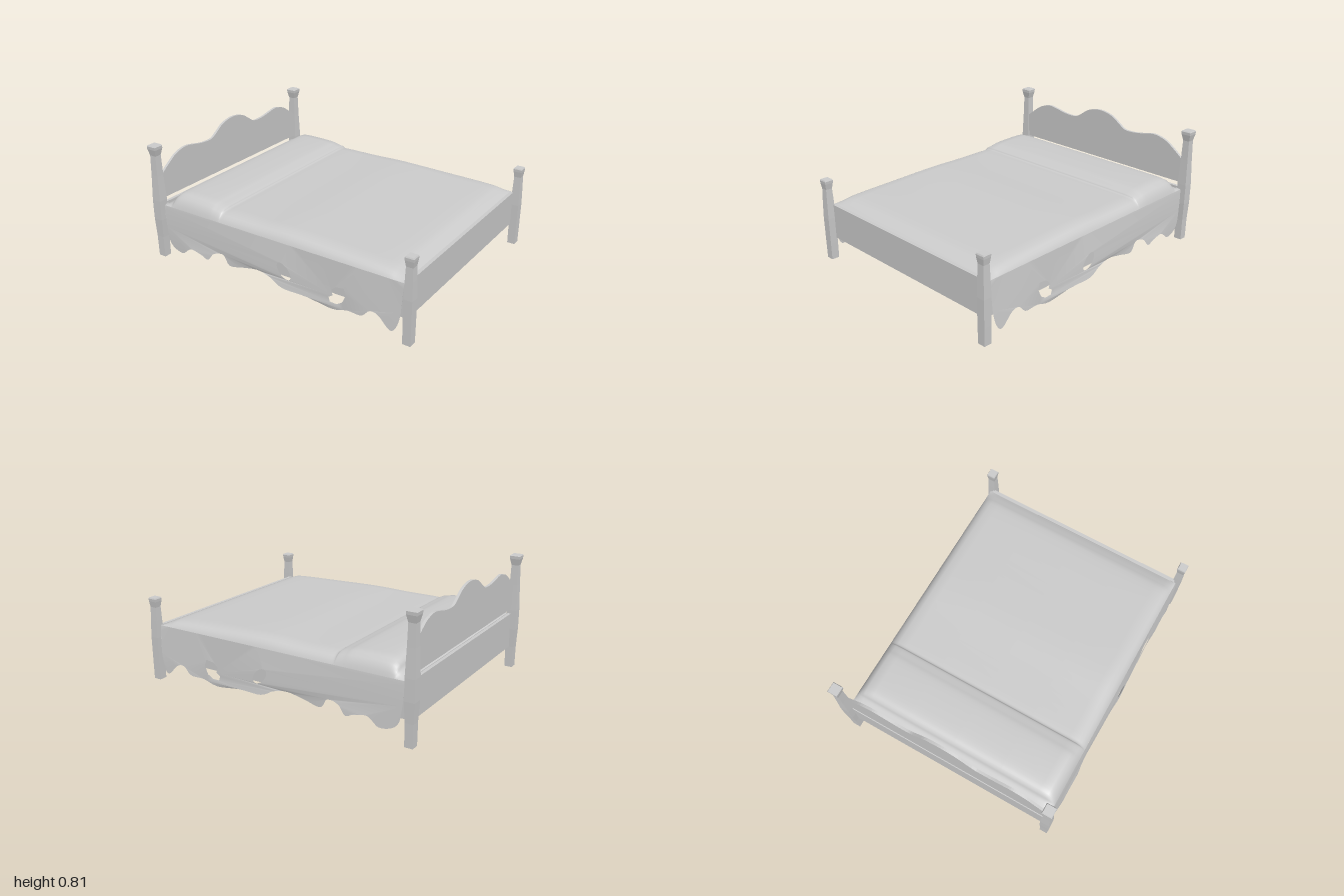
import * as THREE from 'three';

const grey = new THREE.MeshStandardMaterial({ color: 0xcccccc });
const facet = new THREE.MeshStandardMaterial({ color: 0xcccccc, flatShading: true });
const cloth = new THREE.MeshStandardMaterial({ color: 0xcccccc, side: THREE.DoubleSide });
const vecs = (pts) => pts.map(([x, y]) => new THREE.Vector2(x, y));

export function createModel() {
  const bed = new THREE.Group();
  const add = (name, geometry, material, x = 0, y = 0, z = 0) => {
    const mesh = new THREE.Mesh(geometry, material);
    mesh.name = name;
    mesh.position.set(x, y, z);
    bed.add(mesh);
    return mesh;
  };
  // box given by its limits
  const box = (name, x0, x1, y0, y1, z0, z1) =>
    add(name, new THREE.BoxGeometry(x1 - x0, y1 - y0, z1 - z0), grey,
      (x0 + x1) / 2, (y0 + y1) / 2, (z0 + z1) / 2);

  // square turned posts: [half width, height]
  const post = (profile) => new THREE.LatheGeometry(
    vecs(profile.map(([w, y]) => [w * Math.SQRT2, y])), 4, Math.PI / 4);
  const headPost = post([[0, 0], [0.027, 0], [0.028, 0.15], [0.033, 0.28], [0.033, 0.42],
    [0.027, 0.6], [0.024, 0.74], [0.034, 0.785], [0.035, 0.805], [0.03, 0.812], [0, 0.812]]);
  const footPost = post([[0, 0], [0.027, 0], [0.028, 0.12], [0.029, 0.3], [0.026, 0.42],
    [0.023, 0.51], [0.029, 0.55], [0.03, 0.568], [0.026, 0.576], [0, 0.576]]);
  for (const s of [-1, 1]) {
    add('headPost', headPost, facet, -0.965, 0, s * 0.757);
    add('footPost', footPost, facet, 0.97, 0, s * 0.755);
  }

  // scalloped headboard
  const half = [[0.735, 0.6], [0.67, 0.65], [0.6, 0.698], [0.54, 0.718], [0.49, 0.725], [0.43, 0.716],
    [0.35, 0.7], [0.28, 0.695], [0.23, 0.7], [0.18, 0.73], [0.12, 0.77], [0.06, 0.789]];
  const crest = new THREE.SplineCurve(vecs([...half, [0, 0.796],
    ...half.map(([z, y]) => [-z, y]).reverse()])).getPoints(72);
  const board = new THREE.Shape([...crest, ...vecs([[-0.735, 0.43], [0.735, 0.43]])]);
  const boardGeo = new THREE.ExtrudeGeometry(board, { depth: 0.018, bevelEnabled: false });
  boardGeo.rotateY(-Math.PI / 2);
  add('headboard', boardGeo, grey, -0.943);

  // frame panels, slats and centre beam
  box('headRail', -0.962, -0.94, 0.15, 0.395, -0.735, 0.735);
  box('footboard', 0.925, 0.95, 0.15, 0.39, -0.735, 0.735);
  for (const s of [-1, 1]) {
    const z = [s * 0.715, s * 0.742].sort((a, b) => a - b);
    box('sideRail', -0.945, 0.945, 0.15, 0.385, ...z);
  }
  for (let i = 0; i < 10; i++) {
    const x = -0.82 + i * 0.182;
    box('slat', x - 0.055, x + 0.055, 0.175, 0.195, -0.72, 0.72);
  }
  box('centreBeam', -0.94, 0.93, 0.152, 0.176, -0.035, 0.035);
  box('mattress', -0.92, 0.922, 0.215, 0.385, -0.715, 0.715);

  // blanket top: lengthwise profile, rounded off toward both sides
  const along = new THREE.SplineCurve(vecs([[-0.925, 0.385], [-0.895, 0.405], [-0.865, 0.428],
    [-0.845, 0.462], [-0.8, 0.482], [-0.68, 0.485], [-0.55, 0.48], [-0.5, 0.47], [-0.455, 0.459],
    [-0.438, 0.446], [-0.38, 0.447], [-0.15, 0.448], [0.1, 0.454], [0.45, 0.444], [0.78, 0.432],
    [0.87, 0.412], [0.93, 0.385]])).getPoints(64);
  const edge = [[0.755, 0], [0.747, 0.25], [0.735, 0.48], [0.718, 0.72], [0.69, 0.92], [0.63, 0.99], [0.35, 1]];
  const across = [...edge.map(([z, f]) => [-z, f]), [0, 1], ...[...edge].reverse()];
  const top = new THREE.PlaneGeometry(1, 1, along.length - 1, across.length - 1);
  across.forEach(([z, f], j) => along.forEach((p, i) => {
    top.attributes.position.setXYZ(j * along.length + i, p.x, 0.385 + (p.y - 0.385) * f, z);
  }));
  top.computeVertexNormals();
  add('blanketTop', top, cloth);

  // hanging blanket sides: ragged hem with two torn holes
  const hem = new THREE.SplineCurve(vecs([[-0.925, 0.385], [-0.912, 0.25], [-0.895, 0.14], [-0.85, 0.09],
    [-0.77, 0.075], [-0.72, 0.11], [-0.68, 0.13], [-0.6, 0.115], [-0.54, 0.095], [-0.49, 0.15],
    [-0.41, 0.165], [-0.36, 0.1], [-0.25, 0.12], [-0.12, 0.146], [-0.02, 0.13], [0.08, 0.085],
    [0.25, 0.08], [0.44, 0.055], [0.56, 0.085], [0.66, 0.09], [0.72, 0.142], [0.78, 0.132],
    [0.85, 0.065], [0.89, 0.08], [0.92, 0.18], [0.93, 0.385]])).getPoints(110);
  const rim = [];
  for (let i = 1; i < 48; i++) rim.push(new THREE.Vector2(0.93 - i * 1.855 / 48, 0.385));
  const side = new THREE.Shape([...hem, ...rim]);
  const oval = new THREE.Path();
  oval.absellipse(0.09, 0.205, 0.065, 0.036, 0, Math.PI * 2, true, -0.75);
  const tear = new THREE.Path(vecs([[0.43, 0.1], [0.42, 0.13], [0.45, 0.15], [0.44, 0.185], [0.47, 0.213],
    [0.53, 0.222], [0.545, 0.18], [0.52, 0.125], [0.48, 0.1]]));
  side.holes.push(oval, tear);
  const drape = new THREE.ShapeGeometry(side, 12);
  const p = drape.attributes.position;
  for (let i = 0; i < p.count; i++) {
    const drop = (0.385 - p.getY(i)) / 0.3;
    const fold = 0.02 + 0.008 * Math.sin(p.getX(i) * 9 + 1);
    p.setZ(i, 0.755 + fold * Math.sqrt(Math.max(drop, 0)));
  }
  drape.computeVertexNormals();
  add('blanketSide', drape, cloth);
  add('blanketSide', drape, cloth).scale.z = -1;

  return bed;
}
